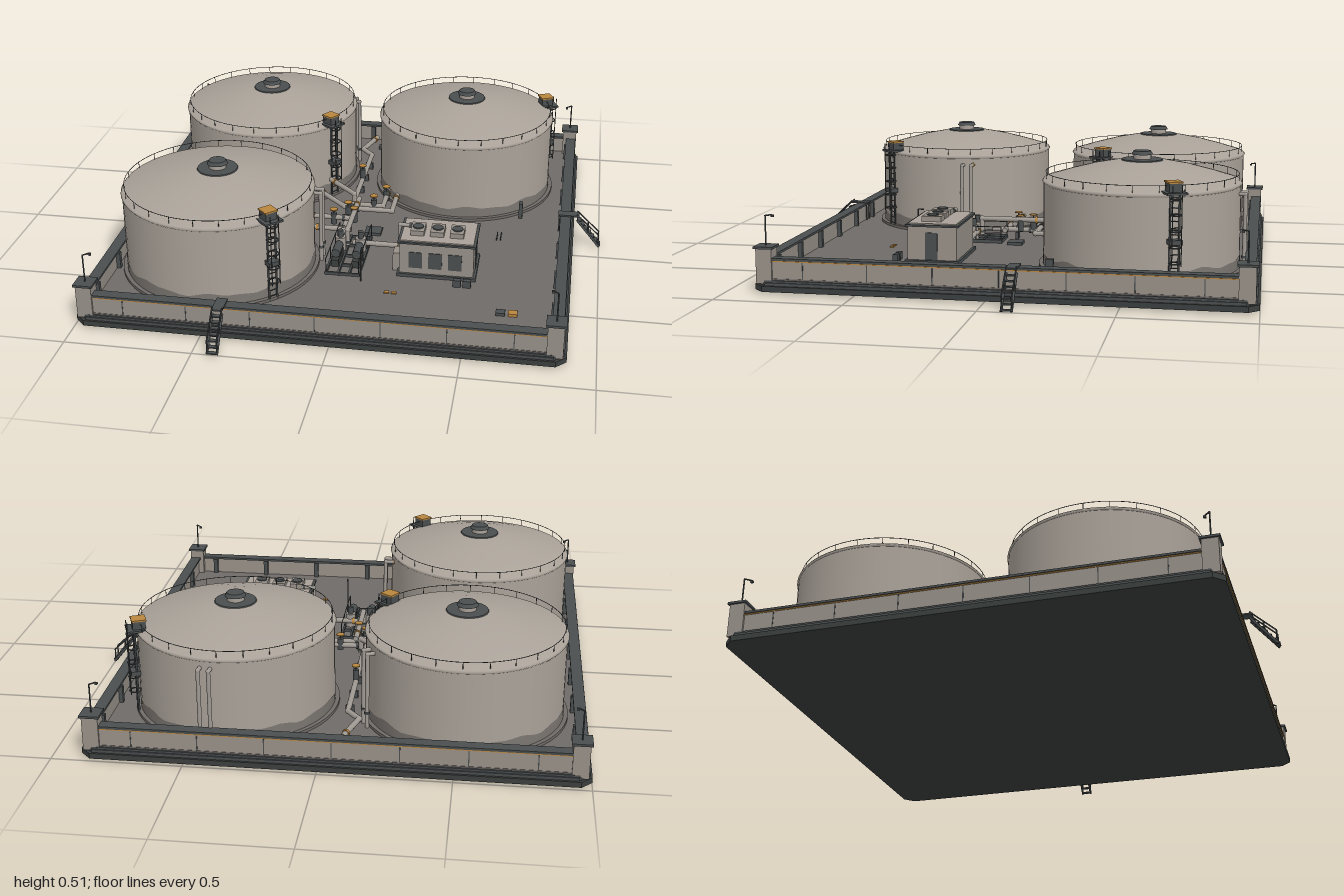
import * as THREE from 'three';

const mat = (name, color) => new THREE.MeshStandardMaterial({ name, color });

export function createModel() {
  const root = new THREE.Group();
  root.name = 'tankFarm';
  const M = {
    tank: mat('tank paint', 0xaaa299),
    wall: mat('concrete wall', 0x989189),
    floor: mat('yard floor', 0x6f6b68),
    stain: mat('damp band', 0x7b7671),
    dark: mat('dark steel', 0x4a4e4f),
    black: mat('plinth', 0x3b3f3e),
    pipe: mat('pipe paint', 0xa09a93),
    orange: mat('orange trim', 0xb9863f),
  };
  M.stain.side = THREE.DoubleSide;

  const group = (name, parent = root) => {
    const g = new THREE.Group();
    g.name = name;
    parent.add(g);
    return g;
  };
  const add = (name, geo, m, parent, x = 0, y = 0, z = 0) => {
    const o = new THREE.Mesh(geo, m);
    o.name = name;
    o.position.set(x, y, z);
    parent.add(o);
    return o;
  };
  // box given by its centre in x and z and its bottom y
  const box = (name, m, p, x, y, z, w, h, d) =>
    add(name, new THREE.BoxGeometry(w, h, d), m, p, x, y + h / 2, z);
  const cyl = (name, m, p, x, y, z, r, h, n = 24, r2 = r) =>
    add(name, new THREE.CylinderGeometry(r2, r, h, n), m, p, x, y + h / 2, z);
  // straight rod between two points
  const rod = (name, m, p, a, b, r, n = 8) => {
    const A = new THREE.Vector3(...a), B = new THREE.Vector3(...b);
    const o = add(name, new THREE.CylinderGeometry(r, r, A.distanceTo(B), n), m, p);
    o.position.copy(A).lerp(B, 0.5);
    o.quaternion.setFromUnitVectors(new THREE.Vector3(0, 1, 0), B.sub(A).normalize());
    return o;
  };
  // jointed pipe with ball elbows and flanged ends
  const pipe = (name, p, pts, r = 0.011) => {
    const g = group(name, p);
    pts.forEach((pt, i) => {
      if (i) rod('run', M.pipe, g, pts[i - 1], pt, r, 12);
      if (i && i < pts.length - 1) add('elbow', new THREE.SphereGeometry(r * 1.1, 12, 8), M.pipe, g, ...pt);
    });
    const band = (a, b, t, m) => {
      const A = new THREE.Vector3(...a), B = new THREE.Vector3(...b);
      const d = B.clone().sub(A).normalize().multiplyScalar(0.005);
      const c = A.lerp(B, t);
      rod('flange', m, g, c.clone().sub(d).toArray(), c.clone().add(d).toArray(), r * 1.35, 12);
    };
    band(pts[0], pts[1], 0.2, M.orange);
    band(pts.at(-2), pts.at(-1), 0.8, M.dark);
    return g;
  };

  // Yard slab with chamfered corners
  const C = -0.055, FLOOR = 0.06;
  const slab = (name, m, half, cut, y, h) => {
    const s = new THREE.Shape(), k = half - cut;
    [[-k, -half], [k, -half], [half, -k], [half, k], [k, half], [-k, half], [-half, k], [-half, -k]]
      .forEach(([x, z], i) => (i ? s.lineTo(x, z) : s.moveTo(x, z)));
    const geo = new THREE.ExtrudeGeometry(s, { depth: h, bevelEnabled: false }).rotateX(-Math.PI / 2);
    add(name, geo, m, base, C, y, C);
  };
  const base = group('base');
  slab('footing', M.black, 0.945, 0.04, 0.012, 0.022);
  slab('plinthStep', M.dark, 0.937, 0.04, 0.034, 0.012);
  slab('yardFloor', M.floor, 0.925, 0.03, 0.046, FLOOR - 0.046);

  // Perimeter wall, one side built facing +z and turned four times
  for (let s = 0; s < 4; s++) {
    const side = group('wallSide', base);
    side.position.set(C, 0, C);
    side.rotation.y = s * Math.PI / 2;
    box('wall', M.wall, side, 0, 0.046, 0.908, 1.79, 0.084, 0.03);
    box('wallCap', M.dark, side, 0, 0.13, 0.906, 1.8, 0.009, 0.045);
    box('footRail', M.dark, side, 0, 0.046, 0.926, 1.8, 0.008, 0.012);
    box('trimStripe', M.orange, side, 0, 0.125, 0.9245, 1.76, 0.004, 0.003);
    for (let i = -3; i <= 3; i++) {
      box('seam', M.dark, side, i * 0.25, 0.054, 0.9235, 0.004, 0.072, 0.002);
      box('buttress', M.dark, side, i * 0.25 + 0.06, FLOOR, 0.885, 0.02, 0.07, 0.016);
    }
    // Corner post with mast lamp
    const post = group('cornerPost', side);
    post.position.set(0.9, 0, 0.9);
    box('pillar', M.wall, post, 0, 0.04, 0, 0.062, 0.134, 0.062);
    box('pillarCap', M.dark, post, 0, 0.174, 0, 0.076, 0.009, 0.076);
    rod('mast', M.dark, post, [0, 0.18, 0], [0, 0.298, 0], 0.003);
    rod('lampArm', M.dark, post, [0, 0.297, 0], [-0.02, 0.297, -0.02], 0.003);
    box('lamp', M.dark, post, -0.021, 0.288, -0.021, 0.01, 0.008, 0.01);
  }

  // Access stairs, descending along local +z
  const stairs = (x, z, turn) => {
    const g = group('stairs');
    g.position.set(x, 0, z);
    g.rotation.y = turn;
    box('landing', M.dark, g, 0, 0.139, -0.135, 0.042, 0.006, 0.09);
    for (let i = 0; i < 7; i++) box('tread', M.dark, g, 0, 0.116 - i * 0.018, -0.09 + i * 0.0145, 0.034, 0.005, 0.018);
    for (const sx of [-0.019, 0.019]) {
      rod('stringer', M.dark, g, [sx, 0.125, -0.1], [sx, 0.005, 0], 0.005);
      rod('handrail', M.dark, g, [sx, 0.15, -0.1], [sx, 0.06, -0.004], 0.003);
      rod('railPost', M.dark, g, [sx, 0.06, -0.004], [sx, 0.004, -0.004], 0.003);
      rod('railPost', M.dark, g, [sx, 0.105, -0.05], [sx, 0.06, -0.05], 0.003);
      rod('innerLadder', M.dark, g, [sx, FLOOR, -0.17], [sx, 0.14, -0.17], 0.003);
    }
  };
  stairs(-0.42, 1.0, 0);
  stairs(1.0, -0.11, Math.PI / 2);

  // Storage tanks: centre and the heading of the ladder tower
  const R = 0.385;
  const roof = [[R, 0.392], [R + 0.005, 0.398], [R, 0.405], [0.3, 0.431], [0.2, 0.458], [0.1, 0.478], [0, 0.487]]
    .map(([r, y]) => new THREE.Vector2(r, y));
  const tank = (x, z, heading) => {
    const g = group('tank');
    g.position.set(x, 0, z);
    cyl('foundation', M.floor, g, 0, FLOOR, 0, 0.403, 0.012, 64);
    add('shell', new THREE.CylinderGeometry(R, R, 0.33, 72, 1, true), M.tank, g, 0, 0.235, 0);
    add('roof', new THREE.LatheGeometry(roof, 72), M.tank, g);
    const stain = new THREE.CylinderGeometry(R + 0.0015, R + 0.0015, 0.04, 72, 1, true);
    const p = stain.attributes.position;
    for (let i = 0; i < p.count; i++) {
      const a = Math.atan2(p.getX(i), p.getZ(i));
      if (p.getY(i) > 0) p.setY(i, 0.022 + 0.006 * Math.sin(a * 9) + 0.004 * Math.sin(a * 17));
    }
    add('dampBand', stain, M.stain, g, 0, 0.092, 0);
    const ring = (name, m, r, t, y) =>
      add(name, new THREE.TorusGeometry(r, t, 6, 72).rotateX(Math.PI / 2), m, g, 0, y, 0);
    ring('rimBand', M.orange, R, 0.0025, 0.397);
    ring('roofSeam', M.dark, 0.35, 0.0014, 0.414);
    ring('guardRail', M.dark, 0.376, 0.0013, 0.434);
    for (let i = 0; i < 24; i++) {
      const a = i * Math.PI / 12, c = Math.cos(a) * 0.376, s = Math.sin(a) * 0.376;
      rod('railPost', M.dark, g, [c, 0.404, s], [c, 0.434, s], 0.0013, 5);
    }
    // Roof vent
    cyl('ventBase', M.dark, g, 0, 0.47, 0, 0.086, 0.014, 32, 0.08);
    cyl('ventNeck', M.tank, g, 0, 0.48, 0, 0.034, 0.026, 20);
    cyl('ventHood', M.dark, g, 0, 0.502, 0, 0.042, 0.014, 20, 0.034);
    // Caged ladder tower, pointing along local +x
    const t = group('ladderTower', g);
    t.rotation.y = heading;
    box('platform', M.dark, t, R, 0.405, 0, 0.085, 0.008, 0.08);
    box('hatchBox', M.dark, t, R - 0.005, 0.413, 0, 0.05, 0.032, 0.05);
    box('hatchLid', M.orange, t, R - 0.005, 0.445, 0, 0.056, 0.006, 0.056);
    for (const s of [-0.018, 0.018]) {
      rod('ladderRail', M.dark, t, [R + 0.014, FLOOR, s], [R + 0.014, 0.44, s], 0.004);
      rod('cageBar', M.dark, t, [R + 0.04, 0.14, s], [R + 0.04, 0.44, s], 0.002);
    }
    for (let y = 0.08; y < 0.41; y += 0.025) rod('rung', M.dark, t, [R + 0.014, y, -0.018], [R + 0.014, y, 0.018], 0.002, 5);
    for (let y = 0.15; y < 0.42; y += 0.06)
      add('cageHoop', new THREE.TorusGeometry(0.022, 0.003, 5, 16).rotateX(Math.PI / 2), M.dark, t, R + 0.022, y, 0);
    box('landing', M.dark, t, R + 0.018, 0.22, 0, 0.036, 0.018, 0.05);
    return g;
  };
  tank(-0.52, -0.52, -0.6);
  tank(0.375, -0.53, 0.4);
  tank(-0.54, 0.378, -0.79);

  // Process piping between the tanks
  const pipes = group('piping');
  pipe('mainHeader', pipes, [[-0.085, 0.1, -0.88], [-0.13, 0.1, -0.73], [-0.08, 0.1, -0.67], [-0.08, 0.1, 0.16]]);
  pipe('secondHeader', pipes, [[-0.045, 0.15, -0.1], [-0.045, 0.15, 0.2], [-0.045, 0.08, 0.2]]);
  pipe('tankFeed', pipes, [[0.06, 0.12, -0.26], [0.06, 0.12, -0.1], [-0.08, 0.12, -0.1]]);
  pipe('tankFeed', pipes, [[0.105, 0.12, -0.22], [0.105, 0.12, -0.06], [-0.08, 0.12, -0.06]]);
  pipe('tankFeed', pipes, [[-0.2, 0.16, -0.25], [-0.07, 0.16, -0.12], [-0.07, 0.1, -0.12]]);
  pipe('tankFeed', pipes, [[-0.25, 0.13, -0.2], [-0.1, 0.13, -0.05], [-0.06, 0.13, -0.05]]);
  pipe('tankFeed', pipes, [[-0.26, 0.13, 0.055], [-0.045, 0.13, 0.055]]);
  pipe('tankFeed', pipes, [[-0.23, 0.1, 0.1], [-0.045, 0.1, 0.1]]);
  pipe('plantFeed', pipes, [[-0.02, 0.1, 0.21], [0.08, 0.1, 0.21], [0.21, 0.1, 0.21]]);
  const overflow = (x, z, dx, dz) => { // hooked down-pipe on a tank side
    for (const o of [-0.02, 0.02]) {
      const X = x - dz * o, Z = z + dx * o;
      pipe('overflow', pipes, [[X - dx * 0.05, 0.365, Z - dz * 0.05], [X, 0.365, Z], [X, FLOOR, Z]], 0.008);
    }
  };
  overflow(-0.135, 0.29, 1, 0);
  overflow(-0.15, -0.7, 0.9, -0.43);
  overflow(0.42, -0.935, 0.1, -1);
  for (const [x, z] of [[-0.08, -0.4], [-0.08, -0.02], [-0.045, 0.03], [0.06, -0.2], [0.02, -0.1], [-0.13, 0.055]]) {
    cyl('valve', M.dark, pipes, x, 0.1, z, 0.013, 0.05, 10);
    cyl('handWheel', M.orange, pipes, x, 0.165, z, 0.017, 0.004, 14);
    rod('valveStem', M.dark, pipes, [x, 0.15, z], [x, 0.167, z], 0.003);
  }
  for (let z = -0.6; z < 0.1; z += 0.13) box('pipeSupport', M.dark, pipes, -0.08, FLOOR, z, 0.034, 0.03, 0.012);

  // Pump skid
  const skid = group('pumpSkid');
  for (const x of [-0.095, -0.045, 0.0, 0.04]) box('skidBeam', M.dark, skid, x, FLOOR, 0.265, 0.008, 0.014, 0.33);
  for (const z of [0.1, 0.18, 0.27, 0.35, 0.425]) box('crossBeam', M.dark, skid, -0.0275, FLOOR, z, 0.14, 0.012, 0.008);
  for (const x of [-0.07, 0.015]) {
    const motor = cyl('pumpMotor', M.dark, skid, x, 0.07, 0.3, 0.018, 0.08, 16);
    motor.rotation.x = Math.PI / 2;
    box('pumpBed', M.black, skid, x, FLOOR, 0.3, 0.03, 0.03, 0.12);
    cyl('pumpBody', M.pipe, skid, x, 0.07, 0.225, 0.022, 0.06, 16);
    cyl('pumpHead', M.dark, skid, x, 0.13, 0.225, 0.012, 0.03, 12);
  }
  for (const x of [-0.095, 0.04]) {
    rod('skidRail', M.dark, skid, [x, 0.13, 0.1], [x, 0.13, 0.425], 0.002);
    for (const z of [0.1, 0.21, 0.32, 0.425]) rod('skidPost', M.dark, skid, [x, FLOOR, z], [x, 0.13, z], 0.002);
  }

  // Plant house with roof fans
  const house = group('plantHouse');
  box('houseBase', M.dark, house, 0.35, FLOOR, 0.287, 0.32, 0.014, 0.22);
  box('houseBody', M.wall, house, 0.35, 0.07, 0.287, 0.3, 0.14, 0.2);
  box('roofEdge', M.dark, house, 0.35, 0.208, 0.287, 0.316, 0.008, 0.216);
  box('roofPanel', M.tank, house, 0.35, 0.216, 0.287, 0.296, 0.005, 0.196);
  for (const x of [0.265, 0.345, 0.425]) {
    box('fanHousing', M.wall, house, x, 0.22, 0.3, 0.056, 0.022, 0.08);
    cyl('fan', M.dark, house, x, 0.242, 0.3, 0.022, 0.005, 16);
    box('louvre', M.dark, house, x, 0.1, 0.388, 0.055, 0.07, 0.004);
  }
  box('houseDoor', M.dark, house, 0.501, 0.075, 0.29, 0.004, 0.11, 0.05);
  box('sideCabinet', M.wall, house, 0.183, FLOOR, 0.32, 0.03, 0.08, 0.06);
  pipe('exhaust', house, [[0.185, 0.1, 0.265], [0.185, 0.228, 0.265], [0.24, 0.228, 0.265]], 0.008);

  // Loose yard fittings
  const yard = group('yardFittings');
  for (const [x, z, s, m] of [[-0.05, -0.845, 0.042, M.dark], [-0.84, -0.058, 0.042, M.dark],
    [0.04, 0.035, 0.07, M.dark], [0.627, 0.625, 0.036, M.dark], [0.675, 0.625, 0.036, M.orange]])
    box('drainCover', m, yard, x, FLOOR, z, s, 0.012, s * 0.9);
  for (const x of [0.44, 0.48]) box('supplyCrate', M.dark, yard, x, FLOOR, 0.44, 0.032, 0.03, 0.02);
  for (const x of [0.17, 0.2]) box('marker', M.orange, yard, x, FLOOR, 0.535, 0.02, 0.005, 0.015);
  rod('signPost', M.dark, yard, [0.055, FLOOR, 0.46], [0.055, 0.2, 0.46], 0.003);
  rod('signArm', M.dark, yard, [0.055, 0.2, 0.46], [0.055, 0.2, 0.435], 0.003);
  box('controlBox', M.dark, yard, 0.655, FLOOR, -0.21, 0.016, 0.07, 0.03);
  for (const x of [0.568, 0.584]) box('cableTray', M.dark, yard, x, FLOOR, -0.005, 0.004, 0.01, 0.06);

  return root;
}
